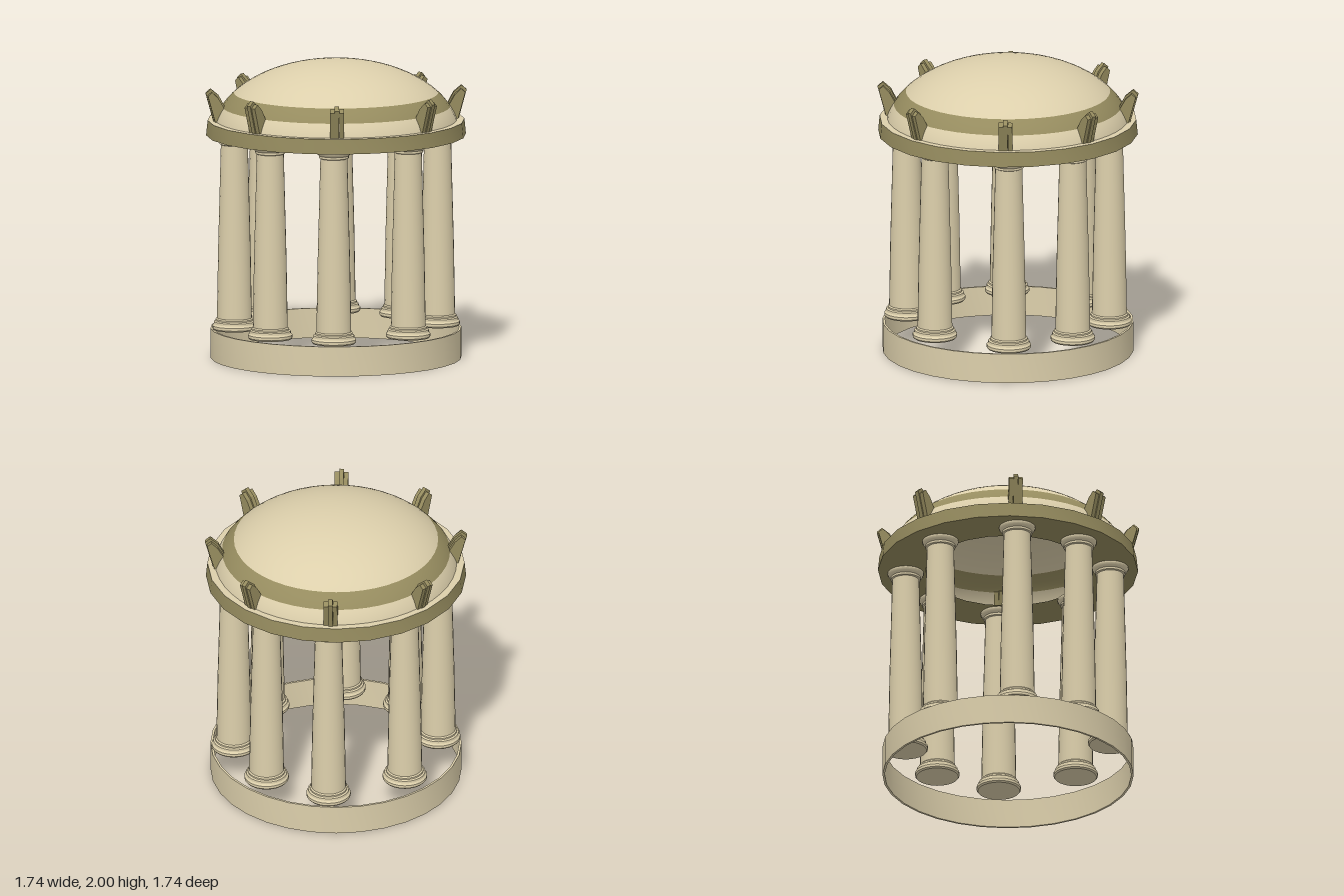
import * as THREE from 'three';
import { toCreasedNormals } from 'three/addons/utils/BufferGeometryUtils.js';

const stone = new THREE.MeshStandardMaterial({ color: 0xdccfab, side: THREE.DoubleSide });
stone.name = 'paleStone';
const olive = new THREE.MeshStandardMaterial({ color: 0x968c5f, side: THREE.DoubleSide });
olive.name = 'oliveTrim';

function add(parent, name, geometry, material) {
  const mesh = new THREE.Mesh(geometry, material);
  mesh.name = name;
  parent.add(mesh);
  return mesh;
}

// Turned part from [radius, height] points, listed from the bottom up
function turned(points, sides) {
  const profile = points.map(([r, y]) => new THREE.Vector2(r, y));
  return toCreasedNormals(new THREE.LatheGeometry(profile, sides), 0.5);
}

// Slice of the half-ellipsoid dome between two heights
function domeSlice(y0, y1, rows) {
  const angle = (y) => Math.acos((y - 1.5) / 0.5);
  const g = new THREE.SphereGeometry(1, 48, rows, 0, Math.PI * 2, angle(y1), angle(y0) - angle(y1));
  return g.scale(0.82, 0.5, 0.82).translate(0, 1.5, 0);
}

// Leaf-shaped plate lying in the radial plane
function finPlate(points, thickness, offset) {
  const shape = new THREE.Shape(points.map(([r, y]) => new THREE.Vector2(r, y)));
  const g = new THREE.ExtrudeGeometry(shape, { depth: thickness, bevelEnabled: false });
  return g.translate(0, 0, offset - thickness / 2);
}

export function createModel() {
  const model = new THREE.Group();
  model.name = 'rotunda';

  // Open ring under the columns
  add(model, 'baseRing', turned([
    [0.82, 0], [0.835, 0], [0.835, 0.2], [0.82, 0.2], [0.82, 0],
  ], 32), stone);

  // Columns: four on the axes, four on the diagonals
  const columnShape = turned([
    [0, 0.2], [0.14, 0.2], [0.148, 0.21], [0.148, 0.228], [0.138, 0.24],
    [0.136, 0.255], [0.125, 0.262], [0.125, 0.272], [0.116, 0.28],
    [0.108, 0.75], [0.09, 1.445],
    [0.1, 1.45], [0.1, 1.465], [0.112, 1.475], [0.12, 1.49], [0.12, 1.5], [0, 1.5],
  ], 24);
  const spots = [[0.655, 0], [-0.655, 0], [0, 0.645], [0, -0.645]];
  for (const sx of [1, -1]) for (const sz of [1, -1]) spots.push([sx * 0.517, sz * 0.444]);
  for (const [x, z] of spots) add(model, 'column', columnShape, stone).position.set(x, 0, z);

  // Entablature: olive underside and rim, pale ledge on top
  add(model, 'entablature', turned([[0.55, 1.5], [0.865, 1.5], [0.855, 1.6]], 24), olive);
  add(model, 'ledge', turned([[0.855, 1.6], [0.79, 1.6]], 24), stone);

  // Dome with an olive band
  add(model, 'domeSkirt', domeSlice(1.6, 1.69, 4), stone);
  add(model, 'domeBand', domeSlice(1.69, 1.78, 4), olive);
  add(model, 'domeCap', domeSlice(1.78, 2, 14), stone);

  // Eight three-layered fins standing on the ledge
  const middle = finPlate([
    [0.77, 1.6], [0.82, 1.6], [0.872, 1.79], [0.838, 1.82], [0.785, 1.775], [0.74, 1.69],
  ], 0.03, 0);
  const flank = [
    [0.77, 1.6], [0.812, 1.6], [0.86, 1.775], [0.832, 1.8], [0.79, 1.76], [0.75, 1.69],
  ];
  const diagonal = THREE.MathUtils.degToRad(42.3);
  const angles = [0, Math.PI / 2, Math.PI, -Math.PI / 2,
    diagonal, -diagonal, Math.PI - diagonal, Math.PI + diagonal];
  for (const angle of angles) {
    const fin = new THREE.Group();
    fin.name = 'fin';
    fin.rotation.y = angle;
    add(fin, 'finMiddle', middle, olive);
    for (const side of [1, -1]) add(fin, 'finFlank', finPlate(flank, 0.03, side * 0.031), olive);
    model.add(fin);
  }
  return model;
}
